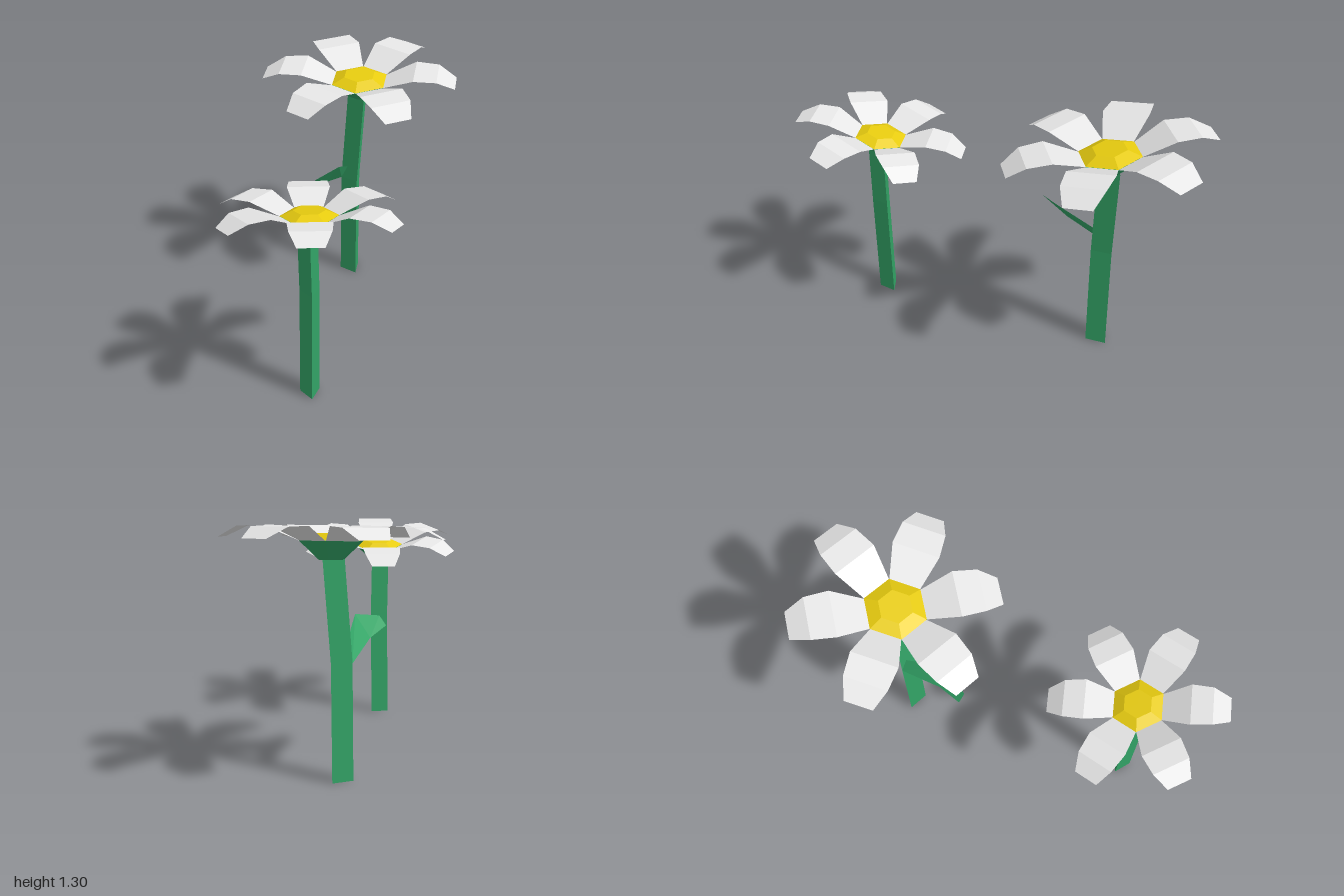
import * as THREE from 'three';

const material = (name, color) => {
  const m = new THREE.MeshStandardMaterial({ color, flatShading: true, side: THREE.DoubleSide });
  m.name = name;
  return m;
};

// Joins successive cross-sections (arrays of [x, y, z]) with flat quads.
function loft(rings, closed) {
  const pos = [];
  for (let i = 0; i + 1 < rings.length; i++) {
    const a = rings[i], b = rings[i + 1], n = a.length;
    for (let j = 0; j < (closed ? n : n - 1); j++) {
      const k = (j + 1) % n;
      pos.push(...a[j], ...b[j], ...b[k], ...a[j], ...b[k], ...a[k]);
    }
  }
  const g = new THREE.BufferGeometry();
  g.setAttribute('position', new THREE.Float32BufferAttribute(pos, 3));
  g.computeVertexNormals();
  return g;
}

// Horizontal polygon; angles run from +x towards +z.
const ring = (sides, r, [x, y, z], startDeg) =>
  Array.from({ length: sides }, (_, i) => {
    const a = THREE.MathUtils.degToRad(startDeg + (i * 360) / sides);
    return [x + r * Math.cos(a), y, z + r * Math.sin(a)];
  });

function part(name, geometry, mat) {
  const m = new THREE.Mesh(geometry, mat);
  m.name = name;
  return m;
}

export function createModel() {
  const green = material('leaf green', 0x33a567);
  const white = material('petal white', 0xf2f2f2);
  const yellow = material('centre yellow', 0xecd010);

  // Petal rows: distance from centre, height, half width
  const petalRows = [[0.14, 0, 0.08], [0.305, 0.07, 0.122], [0.43, 0.065, 0.112], [0.53, 0.012, 0.073]];
  const petalGeometry = loft(petalRows.map(([r, y, w]) => [[r, y, -w], [r, y, w]]), false);

  function flower({ name, path, stemRadius, stemTurn, head, size, turn, rise, slope }) {
    const group = new THREE.Group();
    group.name = name;

    // Three-sided stem with a slight bend, closed at the foot
    const foot = ring(3, 0, path[0], stemTurn);
    const rings = path.map((p) => ring(3, stemRadius, p, stemTurn));
    group.add(part('stem', loft([foot, ...rings], true), green));

    // Tilted head: slope is the steepness, rise the uphill direction
    const bloom = new THREE.Group();
    bloom.name = 'flowerHead';
    bloom.position.set(...head);
    bloom.scale.setScalar(size);
    const a = THREE.MathUtils.degToRad(rise);
    const normal = new THREE.Vector3(-slope * Math.cos(a), 1, -slope * Math.sin(a)).normalize();
    bloom.quaternion.setFromUnitVectors(new THREE.Vector3(0, 1, 0), normal);
    const hex = (r, y) => ring(6, r, [0, y, 0], turn);
    bloom.add(part('calyx', loft([hex(0, -0.09), hex(0.063, -0.09), hex(0.163, 0)], true), green));
    bloom.add(part('centre', loft([hex(0.163, 0.002), hex(0.09, 0.033), hex(0, 0.033)], true), yellow));

    // One petal on each side of the hexagon
    for (let i = 0; i < 6; i++) {
      const petal = part('petal', petalGeometry, white);
      petal.rotation.y = -THREE.MathUtils.degToRad(turn + 30 + i * 60);
      bloom.add(petal);
    }
    group.add(bloom);
    return group;
  }

  const model = new THREE.Group();
  model.name = 'flowers';

  const tall = flower({
    name: 'tallFlower',
    path: [[-0.36, 0, -0.43], [-0.36, 0.6, -0.435], [-0.351, 1.105, -0.475]],
    stemRadius: 0.064, stemTurn: 20,
    head: [-0.345, 1.19, -0.468], size: 1, turn: -10, rise: 228, slope: 0.115,
  });
  // Leaf: lower and upper edge points from stem to tip
  tall.add(part('leaf', loft([
    [[-0.41, 0.595, -0.395], [-0.37, 0.675, -0.405]],
    [[-0.30, 0.672, -0.18], [-0.22, 0.785, -0.21]],
    [[-0.265, 0.71, -0.04], [-0.225, 0.757, -0.05]],
  ], false), green));
  model.add(tall);

  model.add(flower({
    name: 'shortFlower',
    path: [[0.427, 0, 0.55], [0.435, 0.6, 0.55], [0.434, 0.93, 0.557]],
    stemRadius: 0.056, stemTurn: 32,
    head: [0.426, 1.0, 0.542], size: 0.85, turn: 9, rise: 39, slope: 0.156,
  }));
  return model;
}
